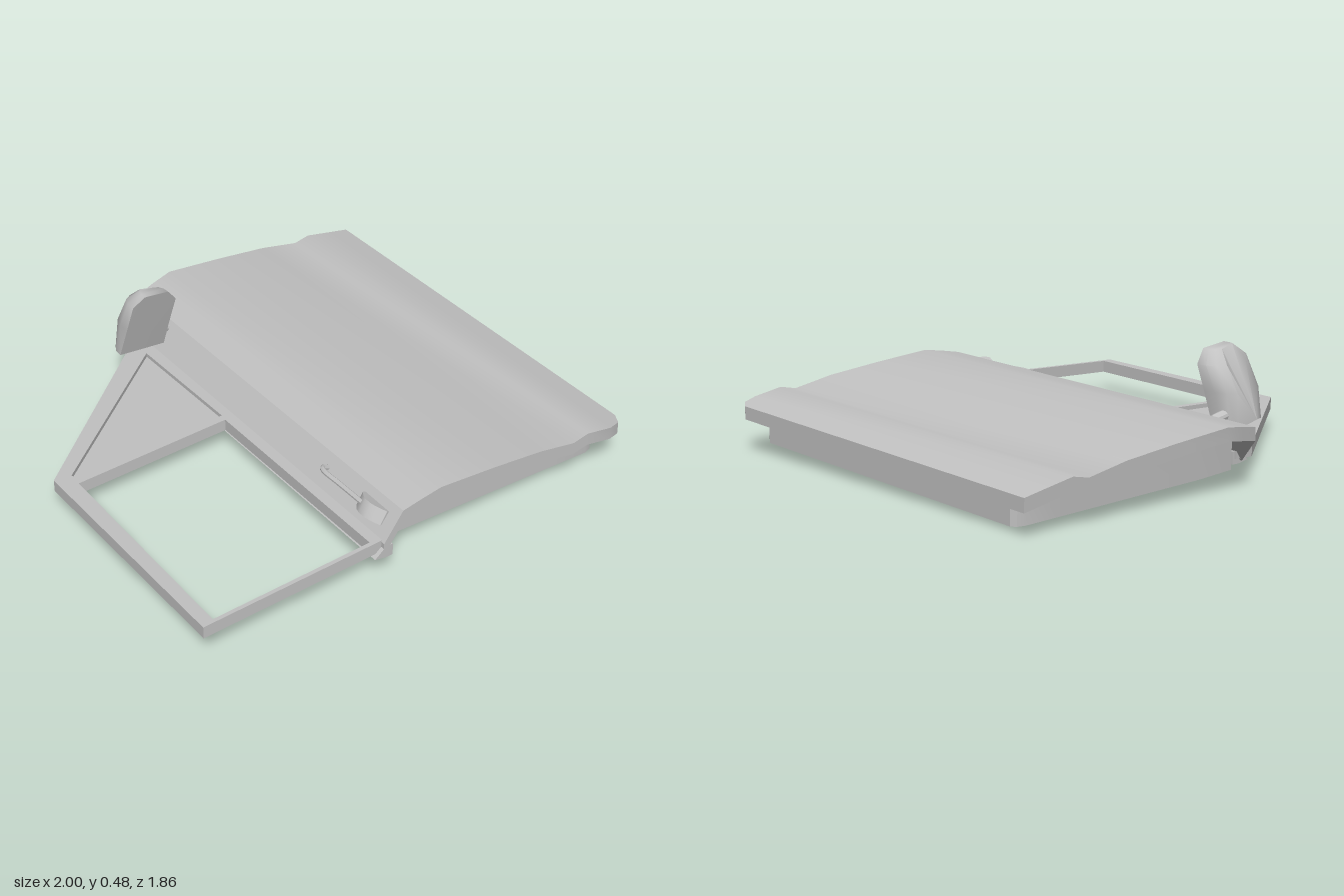
import * as THREE from 'three';
import { toCreasedNormals } from 'three/addons/utils/BufferGeometryUtils.js';

const grey = new THREE.MeshStandardMaterial({ color: 0xc2c2c2 });
grey.name = 'plain grey';

function part(name, geometry, crease = 0.5) {
  const mesh = new THREE.Mesh(toCreasedNormals(geometry, crease), grey);
  mesh.name = name;
  return mesh;
}

// Closed solid through rings with equal point counts
function loft(rings) {
  const n = rings[0].length, last = (rings.length - 1) * n, index = [];
  for (let i = 0; i < rings.length - 1; i++) {
    for (let j = 0; j < n; j++) {
      const a = i * n + j, b = i * n + (j + 1) % n;
      index.push(a, b, b + n, a, b + n, a + n);
    }
  }
  for (let j = 1; j < n - 1; j++) {
    index.push(0, j + 1, j, last, last + j, last + j + 1);
  }
  const g = new THREE.BufferGeometry();
  g.setAttribute('position', new THREE.Float32BufferAttribute(rings.flat(2), 3));
  g.setIndex(index);
  return g;
}

// Plan outline [x, z] extruded upwards from y, tilted like the window frame
function plate(outline, holes, y, height) {
  const pts = list => list.map(([x, z]) => new THREE.Vector2(x, -z));
  const shape = new THREE.Shape(pts(outline));
  holes.forEach(h => shape.holes.push(new THREE.Path(pts(h))));
  const g = new THREE.ExtrudeGeometry(shape, { depth: height, bevelEnabled: false });
  g.rotateX(-Math.PI / 2).translate(0, y, 0);
  const p = g.attributes.position;
  for (let i = 0; i < p.count; i++) p.setY(i, p.getY(i) + 0.02 * (p.getX(i) + 1));
  return g;
}

// Profile [x, y] extruded along z
function bar(profile, z0, z1) {
  const shape = new THREE.Shape(profile.map(([x, y]) => new THREE.Vector2(x, y)));
  return new THREE.ExtrudeGeometry(shape, { depth: z1 - z0, bevelEnabled: false }).translate(0, 0, z0);
}

export function createModel() {
  const model = new THREE.Group();
  model.name = 'vehicleDoor';
  const door = new THREE.Group();
  door.name = 'doorBody';
  door.rotation.set(-0.024, -0.023, 0);
  model.add(door);

  // Outer skin: x, top y, back z, front z
  const skin = [
    [-0.21, 0.145, -0.75, 0.91], [-0.125, 0.26, -0.9, 0.91], [-0.04, 0.275, -0.92, 0.91],
    [0.05, 0.288, -0.937, 0.91], [0.3, 0.263, -0.936, 0.908], [0.53, 0.235, -0.935, 0.907],
    [0.7, 0.2, -0.934, 0.906], [0.77, 0.214, -0.934, 0.906], [0.89, 0.19, -0.933, 0.905],
    [0.95, 0.178, -0.933, 0.884], [0.979, 0.172, -0.933, 0.835],
  ];
  const rim = 0.053;
  door.add(part('outerPanel', loft(skin.map(([x, y, b, f]) =>
    [[x, y, b], [x, y, f], [x, y - rim, f], [x, y - rim, b]]))));

  // Inner shell: x, top y, back z, front z, on a sloping base
  const shell = [
    [-0.22, 0.1, -0.68, 0.81], [-0.19, 0.14, -0.71, 0.81], [-0.125, 0.22, -0.78, 0.81],
    [0.05, 0.25, -0.795, 0.81], [0.53, 0.2, -0.795, 0.81], [0.7, 0.165, -0.795, 0.81],
    [0.86, 0.16, -0.795, 0.81], [0.89, 0.15, -0.785, 0.8], [0.905, 0.145, -0.765, 0.775],
  ];
  door.add(part('innerShell', loft(shell.map(([x, y, b, f]) => {
    const base = 0.08 - 0.049 * (x + 0.22);
    return [[x, y, b], [x, y, f], [x, base, f], [x, base, b]];
  }))));

  // Belt flange between the shell and the window frame
  door.add(part('beltFlange', bar(
    [[-0.25, 0.09], [-0.2, 0.08], [-0.17, 0.08], [-0.17, 0.13], [-0.2, 0.13]], -0.74, 0.91)));

  // Window frame with a main opening and a quarter panel
  const quarter = [[-0.913, -0.124], [-0.913, -0.09], [-0.247, -0.095], [-0.255, -0.645]];
  door.add(part('windowFrame', plate(
    [[-0.984, -0.137], [-0.98, 0.893], [-0.18, 0.893], [-0.18, -0.75], [-0.267, -0.744]],
    [[[-0.917, -0.064], [-0.93, 0.877], [-0.25, 0.876], [-0.252, -0.064]], quarter],
    0.085, 0.05)));
  door.add(part('quarterPanel', plate(quarter, [], 0.09, 0.028)));

  // Wing mirror: flat face in front, domed back; x, y, front z, back z
  const outline = [
    [-0.385, 0.205, -0.62, -0.705], [-0.365, 0.33, -0.59, -0.71], [-0.35, 0.45, -0.56, -0.65],
    [-0.3, 0.49, -0.548, -0.61], [-0.19, 0.475, -0.548, -0.61], [-0.147, 0.42, -0.56, -0.66],
    [-0.16, 0.32, -0.585, -0.71], [-0.175, 0.18, -0.62, -0.705],
  ];
  const ring = (scale, t) => outline.map(([x, y, f, b]) =>
    [-0.265 + (x + 0.265) * scale, y, f + (b - f) * t]);
  const mirror = new THREE.Group();
  mirror.name = 'wingMirror';
  mirror.add(part('mirrorHousing', loft([ring(1, 0), ring(0.98, 0.45), ring(0.82, 0.82), ring(0.5, 1)]), 0.9));
  const arm = new THREE.LineCurve3(new THREE.Vector3(-0.23, 0.245, -0.67), new THREE.Vector3(-0.13, 0.22, -0.665));
  mirror.add(part('mirrorArm', new THREE.TubeGeometry(arm, 1, 0.022, 12)));
  model.add(mirror);

  // Door handle: thin pull bar and a grip pad on the sloping edge
  const handle = new THREE.Group();
  handle.name = 'doorHandle';
  const pull = new THREE.CatmullRomCurve3([
    [-0.165, 0.225, 0.485], [-0.195, 0.24, 0.485], [-0.207, 0.243, 0.51],
    [-0.207, 0.243, 0.6], [-0.207, 0.243, 0.74],
  ].map(p => new THREE.Vector3(...p)));
  handle.add(part('pullBar', new THREE.TubeGeometry(pull, 20, 0.01, 8)));
  const pad = [[0.7, 0.35], [0.73, 0.8], [0.755, 1], [0.79, 1], [0.82, 0.75], [0.845, 0.4]];
  handle.add(part('gripPad', loft(pad.map(([z, s]) => [
    [-0.185, 0.195, z], [-0.155, 0.245, z],
    [-0.155 - 0.05 * s, 0.245 + 0.025 * s, z], [-0.185 - 0.05 * s, 0.195 + 0.025 * s, z],
  ]))));
  model.add(handle);

  return model;
}
